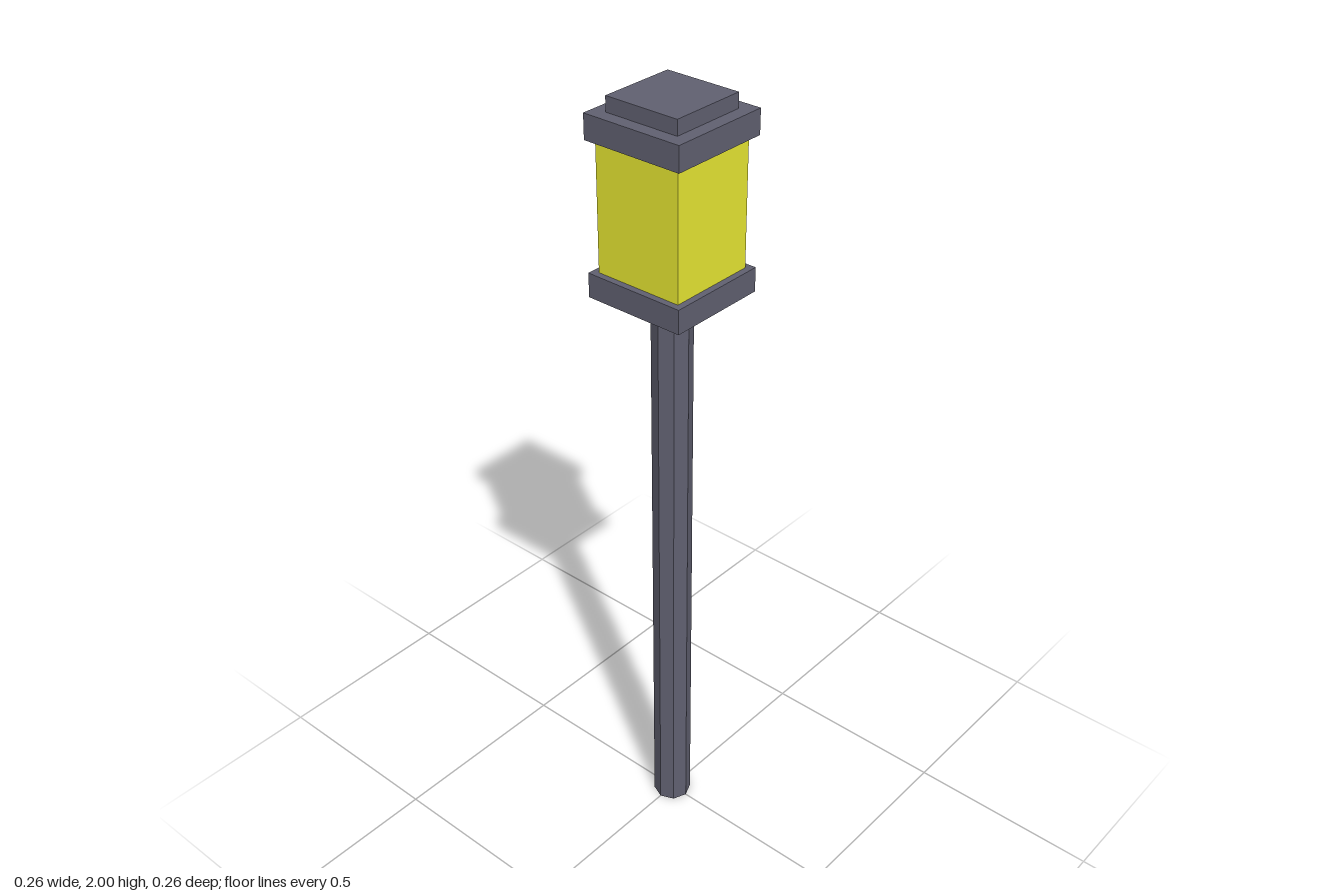
import * as THREE from 'three';

export function createModel() {
  const group = new THREE.Group();
  const metal = new THREE.MeshStandardMaterial({ color: 0x606070, flatShading: true });
  const glass = new THREE.MeshStandardMaterial({ color: 0xe6e632, flatShading: true });

  const add = (name, geometry, material, bottom, top) => {
    const mesh = new THREE.Mesh(geometry, material);
    mesh.name = name;
    mesh.position.y = (bottom + top) / 2;
    group.add(mesh);
  };

  // Square slab spanning two heights
  const slab = (name, width, bottom, top, material = metal) =>
    add(name, new THREE.BoxGeometry(width, top - bottom, width), material, bottom, top);

  // Octagonal post
  add('post', new THREE.CylinderGeometry(0.049, 0.049, 1.534, 8), metal, 0, 1.534);

  // Lantern head, from the bottom up
  slab('lanternBase', 0.262, 1.534, 1.594);
  slab('lanternGlass', 0.229, 1.594, 1.904, glass);
  slab('lanternRoof', 0.262, 1.904, 1.964);
  slab('roofCap', 0.196, 1.964, 2);

  return group;
}
